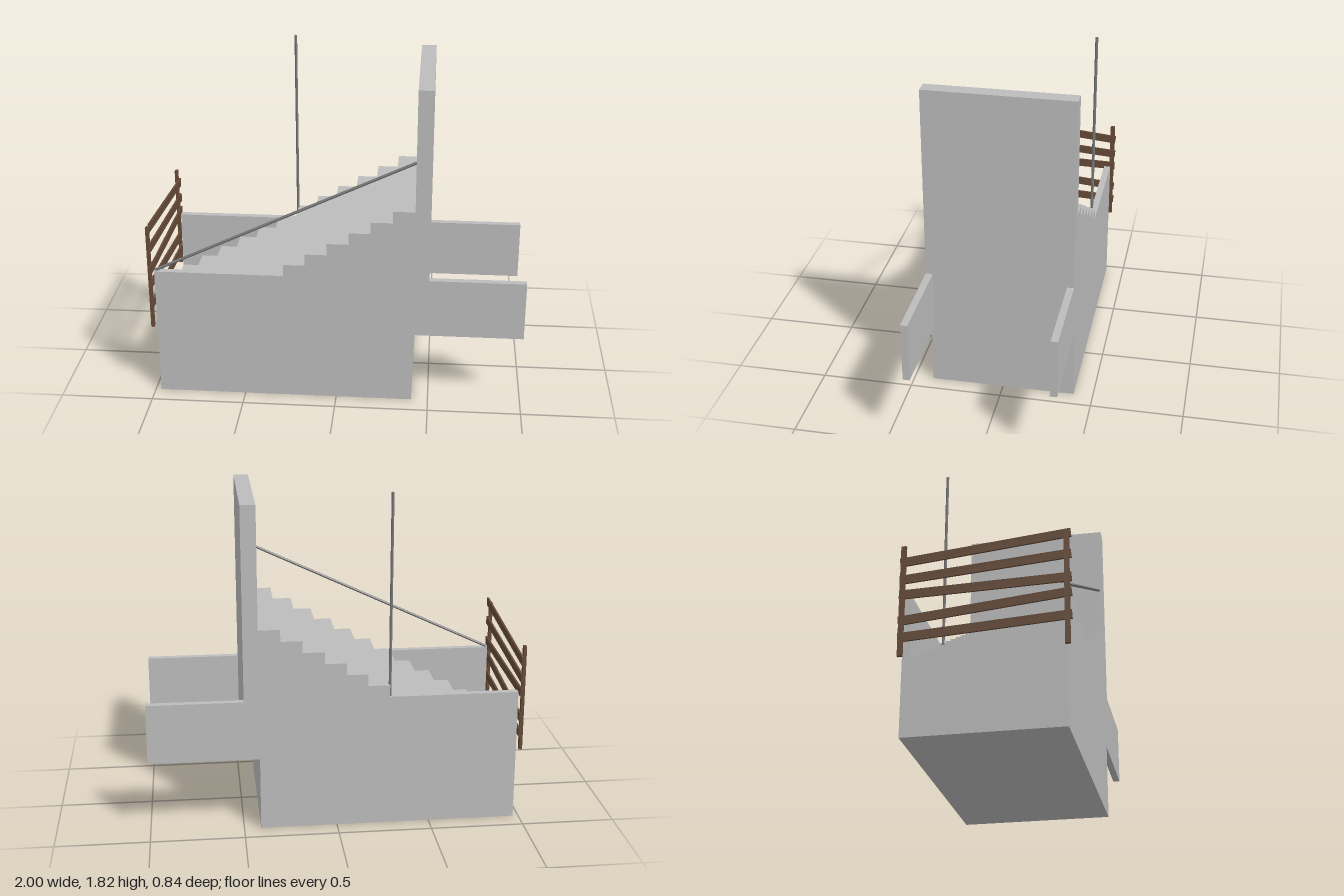
import * as THREE from 'three';

export function createModel() {
  const concrete = new THREE.MeshStandardMaterial({ color: 0xbcbcbc });
  concrete.name = 'concrete';
  const steel = new THREE.MeshStandardMaterial({ color: 0x787878, flatShading: true });
  steel.name = 'steel';
  const wood = new THREE.MeshStandardMaterial({ color: 0x664b38 });
  wood.name = 'wood';

  const model = new THREE.Group();
  model.name = 'staircase';

  const add = (name, geometry, material, x = 0, y = 0, z = 0) => {
    const mesh = new THREE.Mesh(geometry, material);
    mesh.name = name;
    mesh.position.set(x, y, z);
    model.add(mesh);
    return mesh;
  };

  const box = (name, material, x0, x1, y0, y1, z0, z1) =>
    add(name, new THREE.BoxGeometry(x1 - x0, y1 - y0, z1 - z0), material,
      (x0 + x1) / 2, (y0 + y1) / 2, (z0 + z1) / 2);

  const extrude = (name, points, z0, z1) => {
    const shape = new THREE.Shape(points.map(([x, y]) => new THREE.Vector2(x, y)));
    const geometry = new THREE.ExtrudeGeometry(shape, { depth: z1 - z0, bevelEnabled: false });
    return add(name, geometry, concrete, 0, 0, z0);
  };

  // Thin round bar between two points
  const bar = (name, a, b, radius) => {
    const from = new THREE.Vector3(...a), to = new THREE.Vector3(...b);
    const dir = to.clone().sub(from);
    const mesh = add(name, new THREE.CylinderGeometry(radius, radius, dir.length(), 6), steel);
    mesh.position.copy(from).add(to).multiplyScalar(0.5);
    mesh.quaternion.setFromUnitVectors(new THREE.Vector3(0, 1, 0), dir.normalize());
  };

  const left = -0.97, foot = 0.4, tread = 0.115, rise = 0.065;
  const halfWidth = 0.395, inner = 0.358, wallTop = 0.725;

  // Stair outline, climbing towards +x
  const stairs = (count) => {
    const points = [];
    for (let i = 0; i < count; i++) {
      const x = left + tread * i, y = foot + rise * i;
      points.push([x, y], [x + tread, y]);
    }
    return points;
  };

  // Base, twelve steps and the tall end wall in one profile
  extrude('stairBody', [
    [left, 0], [0.41, 0], [0.41, foot], [0.49, foot], [0.49, 1.77], [0.41, 1.77],
    ...stairs(12).reverse(),
  ], -halfWidth, halfWidth);

  // Side walls: beside the lower steps, and projecting behind the end wall
  for (const [side, z0, z1] of [['left', inner, halfWidth], ['right', -halfWidth, -inner]]) {
    extrude(side + 'StairWall', [...stairs(5), [left + 5 * tread, wallTop], [left, wallTop]], z0, z1);
    box(side + 'RearWall', concrete, 0.49, 1, foot, wallTop, z0, z1);
  }

  // Sloping handrail and upright pole
  bar('handrail', [left, 0.725, 0.375], [0.41, 1.38, 0.375], 0.008);
  bar('pole', [-0.282, 0.72, -0.376], [-0.282, 1.815, -0.376], 0.008);

  // Fence posts
  for (const z of [-0.4, 0.4])
    box('fencePost', wood, -1, -0.983, foot, 0.985, z - 0.0125, z + 0.0125);

  // Crooked fence planks: centre heights at the -z and +z ends
  const planks = [[0.905, 0.988], [0.81, 0.875], [0.73, 0.75], [0.59, 0.672], [0.503, 0.553]];
  for (const [low, high] of planks) {
    const length = Math.hypot(0.84, high - low);
    const plank = add('fencePlank', new THREE.BoxGeometry(0.01, 0.046, length), wood,
      -0.978, (low + high) / 2, 0);
    plank.rotation.x = -Math.atan2(high - low, 0.84);
  }

  return model;
}
